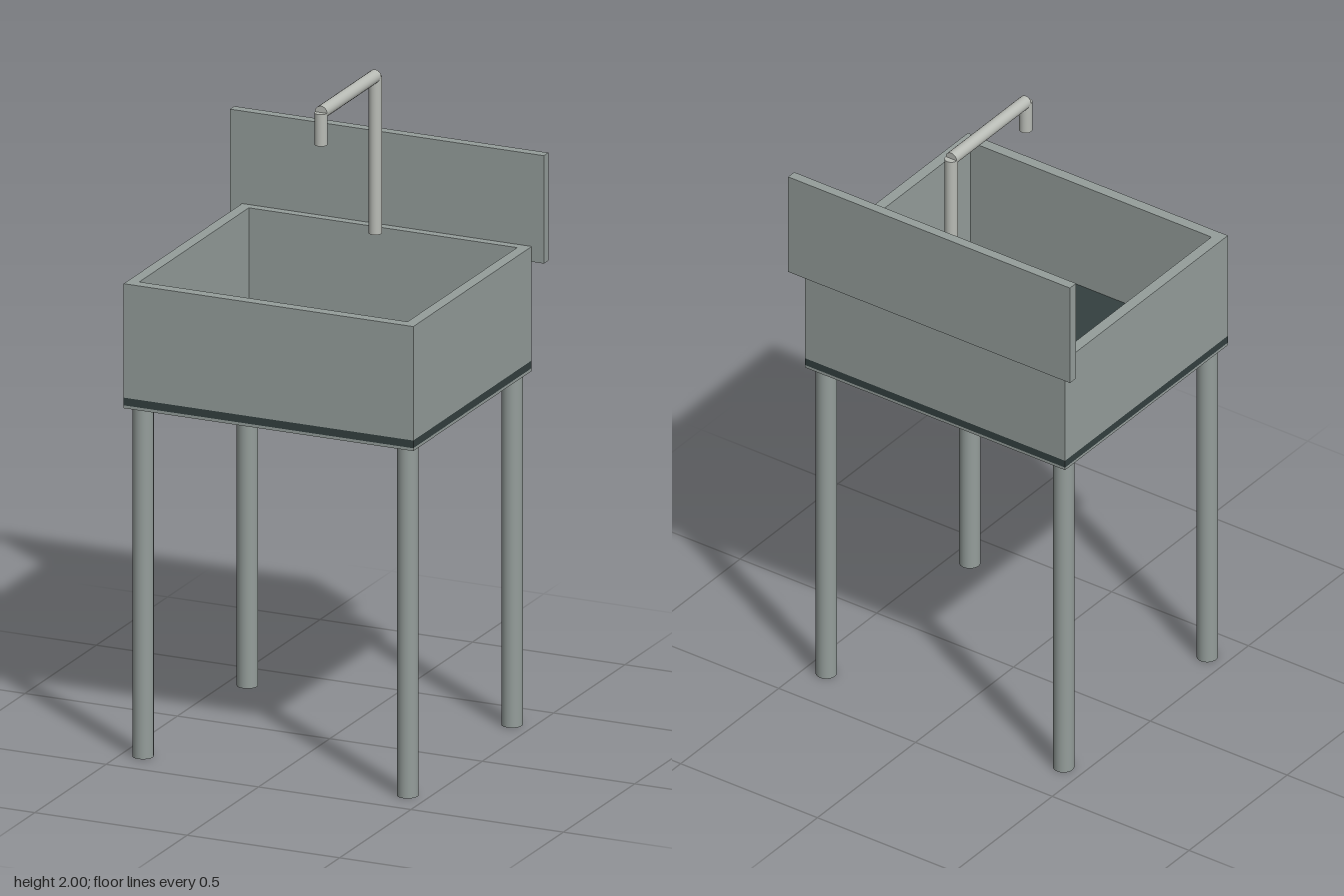
import * as THREE from 'three';

const steel = new THREE.MeshStandardMaterial({ name: 'brushed steel', color: 0x959e9b });
const dark = new THREE.MeshStandardMaterial({ name: 'dark base', color: 0x344040 });
const chrome = new THREE.MeshStandardMaterial({ name: 'light chrome', color: 0xb9bcb6 });

function add(parent, name, geometry, material, x, y, z) {
  const mesh = new THREE.Mesh(geometry, material);
  mesh.name = name;
  mesh.position.set(x, y, z);
  parent.add(mesh);
  return mesh;
}

// Open rectangular frame, extruded upwards from y0 to y1
function frame(parent, name, y0, y1) {
  const corners = (x, z0, z1) => [[-x, -z1], [x, -z1], [x, -z0], [-x, -z0]].map(p => new THREE.Vector2(...p));
  const shape = new THREE.Shape(corners(0.475, -0.4, 0.43));
  shape.holes.push(new THREE.Path(corners(0.44, -0.372, 0.395)));
  const geometry = new THREE.ExtrudeGeometry(shape, { depth: y1 - y0, bevelEnabled: false });
  geometry.rotateX(-Math.PI / 2);
  return add(parent, name, geometry, steel, 0, y0, 0);
}

const rod = (r, h, sides) => new THREE.CylinderGeometry(r, r, h, sides);

export function createModel() {
  const model = new THREE.Group();
  model.name = 'utilitySink';

  // Basin: lower rim, dark floor slab showing at the sides, and walls
  const basin = new THREE.Group();
  basin.name = 'basin';
  model.add(basin);
  frame(basin, 'lowerRim', 1.098, 1.107);
  add(basin, 'basinFloor', new THREE.BoxGeometry(0.95, 0.024, 0.83), dark, 0, 1.119, 0.015);
  frame(basin, 'basinWalls', 1.131, 1.488);
  add(basin, 'drain', rod(0.043, 0.008, 24), chrome, 0, 1.135, 0.011);

  // Splash panel behind the basin
  add(model, 'backsplash', new THREE.BoxGeometry(1.03, 0.338, 0.031), steel, 0, 1.609, -0.4155);

  // Four round legs
  for (const x of [-0.434, 0.434]) {
    for (const z of [-0.35, 0.382]) {
      add(model, `${z > 0 ? 'front' : 'back'}${x > 0 ? 'Left' : 'Right'}Leg`, rod(0.032, 1.1, 24), steel, x, 0.55, z);
    }
  }

  // Faucet: riser, horizontal arm and short downward spout
  const faucet = new THREE.Group();
  faucet.name = 'faucet';
  model.add(faucet);
  add(faucet, 'riser', rod(0.02, 0.492, 20), chrome, 0, 1.734, -0.318);
  add(faucet, 'arm', rod(0.02, 0.38, 20), chrome, 0, 1.98, -0.128).rotation.x = Math.PI / 2;
  add(faucet, 'spout', rod(0.02, 0.1, 20), chrome, 0, 1.93, 0.062);

  return model;
}
